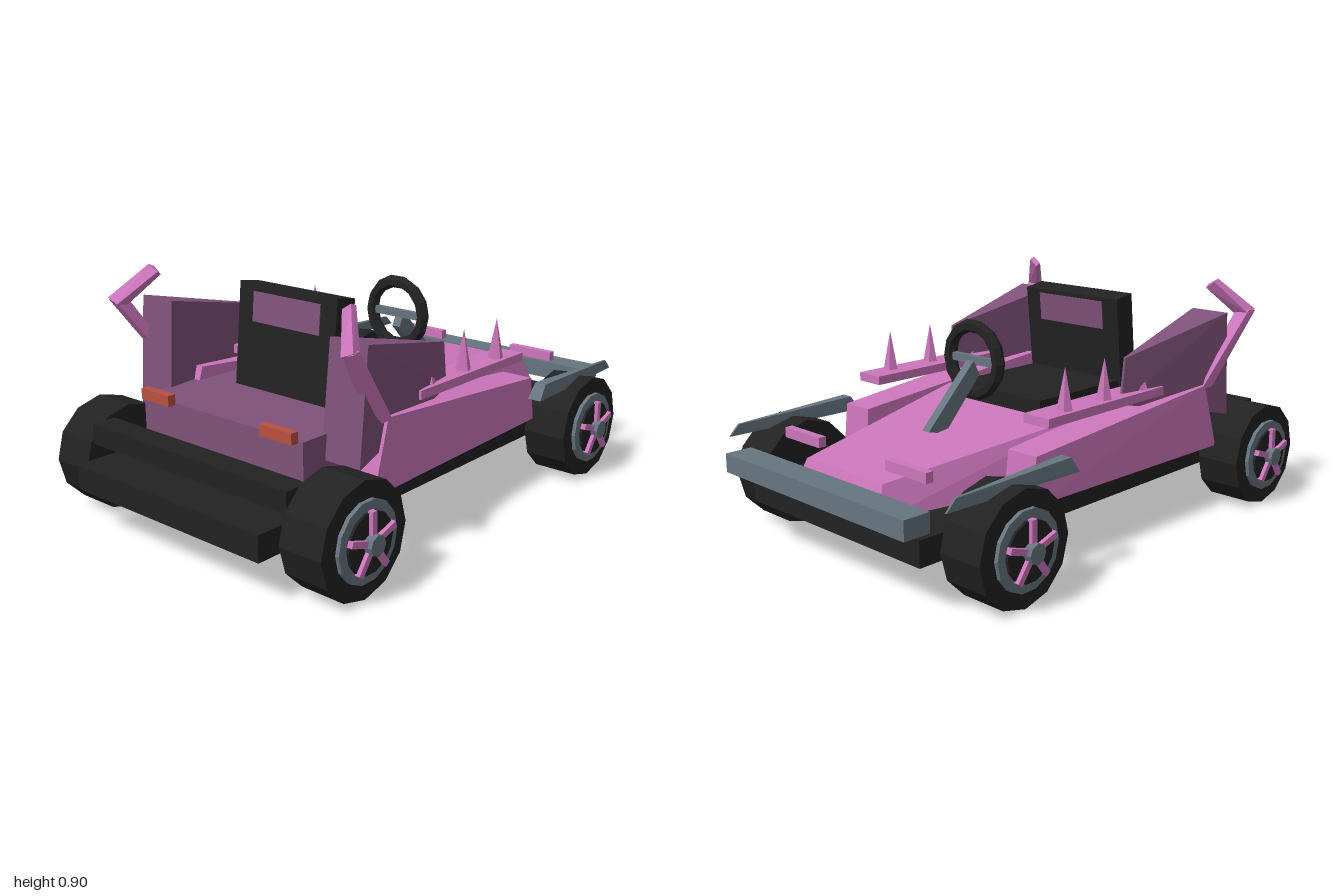
import * as THREE from 'three';
import { ConvexGeometry } from 'three/addons/geometries/ConvexGeometry.js';

const mat = (name, color) => {
  const m = new THREE.MeshStandardMaterial({ color });
  m.name = name;
  m.flatShading = true;
  return m;
};

export function createModel() {
  const pink = mat('pink paint', 0xcc76bc);
  const plum = mat('plum paint', 0x80527a);
  const steel = mat('blue grey steel', 0x667580);
  const black = mat('black rubber', 0x222222);
  const red = mat('red lamp', 0xb85040);

  const kart = new THREE.Group();
  kart.name = 'kart';

  const add = (name, geometry, material, parent = kart) => {
    const m = new THREE.Mesh(geometry, material);
    m.name = name;
    parent.add(m);
    return m;
  };
  // box given by its limits on each axis
  const box = (name, material, [x0, x1], [y0, y1], [z0, z1], parent) => {
    const m = add(name, new THREE.BoxGeometry(Math.abs(x1 - x0), y1 - y0, z1 - z0), material, parent);
    m.position.set((x0 + x1) / 2, (y0 + y1) / 2, (z0 + z1) / 2);
    return m;
  };
  // faceted solid around a few corners; s mirrors it across x
  const hull = (name, material, pts, s = 1) =>
    add(name, new ConvexGeometry(pts.map(([x, y, z]) => new THREE.Vector3(x * s, y, z))), material);
  // corners given for one side, repeated on the other
  const both = (pts) => pts.flatMap(([x, y, z]) => [[x, y, z], [-x, y, z]]);

  // Chassis and bumpers
  box('floorPan', black, [-0.45, 0.45], [0.157, 0.25], [-0.91, 1]);
  box('frontBumper', steel, [-0.485, 0.485], [0.28, 0.35], [-1, -0.895]);
  box('rearBumper', black, [-0.48, 0.48], [0.295, 0.37], [0.81, 0.905]);
  box('rearDeck', plum, [-0.392, 0.392], [0.27, 0.46], [0.13, 0.735]);

  // Tapered nose
  hull('nose', pink, both([
    [0.235, 0.25, -0.89], [0.205, 0.36, -0.85],
    [0.42, 0.25, 0.04], [0.365, 0.46, -0.02],
  ]));

  // Seat
  box('seatCushion', black, [-0.225, 0.225], [0.25, 0.505], [-0.12, 0.36]);
  hull('seatBack', black, both([
    [0.237, 0.45, 0.34], [0.237, 0.45, 0.43], [0.237, 0.83, 0.3], [0.237, 0.845, 0.39],
  ]));
  for (const [zBottom, zTop] of [[0.312, 0.301], [0.403, 0.393]]) {
    const d = zBottom < 0.35 ? -0.004 : 0.004;
    hull('seatPanel', plum, both([
      [0.163, 0.705, zBottom + d], [0.163, 0.815, zTop + d],
      [0.163, 0.705, zBottom], [0.163, 0.815, zTop],
    ]));
  }

  // Steering
  const rim = add('steeringWheel', new THREE.TorusGeometry(0.127, 0.025, 6, 14), black);
  rim.position.set(0, 0.645, -0.235);
  box('steeringSpoke', steel, [-0.115, 0.115], [0.63, 0.66], [-0.245, -0.225]);
  hull('steeringColumn', steel, both([
    [0.018, 0.645, -0.255], [0.018, 0.59, -0.225],
    [0.018, 0.42, -0.48], [0.018, 0.40, -0.40],
  ]));

  for (const s of [1, -1]) {
    // Side pod and floating rail with spikes
    hull('sidePod', pink, [
      [0.37, 0.255, -0.455], [0.51, 0.255, -0.455], [0.375, 0.425, -0.44], [0.505, 0.425, -0.44],
      [0.36, 0.255, 0.56], [0.54, 0.255, 0.56], [0.365, 0.51, 0.48], [0.535, 0.51, 0.48],
    ], s);
    box('spikeRail', pink, [0.385 * s, 0.5 * s], [0.507, 0.54], [-0.375, 0.26]);
    for (const [z, h] of [[-0.25, 0.155], [-0.04, 0.155], [0.17, 0.085]]) {
      const spike = add('spike', new THREE.ConeGeometry(0.03, h, 5), pink);
      spike.position.set(0.46 * s, 0.538 + h / 2, z);
    }

    // Rear fin, narrow in front and broad behind
    hull('rearFin', plum, [
      [0.45, 0.5, 0.06], [0.46, 0.5, 0.06], [0.45, 0.67, 0.08], [0.46, 0.67, 0.08],
      [0.375, 0.37, 0.63], [0.54, 0.37, 0.63], [0.385, 0.78, 0.595], [0.545, 0.78, 0.595],
    ], s);

    // Bent horn behind the fin
    hull('hornLower', pink, [
      [0.535, 0.5, 0.46], [0.5, 0.62, 0.57], [0.54, 0.5, 0.52], [0.51, 0.62, 0.61],
      [0.585, 0.785, 0.685], [0.535, 0.79, 0.68], [0.59, 0.78, 0.72], [0.54, 0.765, 0.715],
    ], s);
    hull('hornUpper', pink, [
      [0.59, 0.785, 0.72], [0.54, 0.765, 0.72], [0.585, 0.77, 0.68], [0.54, 0.75, 0.685],
      [0.487, 0.905, 0.61], [0.445, 0.88, 0.605], [0.487, 0.895, 0.585], [0.45, 0.868, 0.585],
    ], s);

    // Steel blade over the front wheel
    hull('wheelBlade', steel, [
      [0.555, 0.375, -0.34], [0.61, 0.375, -0.34], [0.56, 0.432, -0.38], [0.605, 0.432, -0.38],
      [0.58, 0.375, -0.92], [0.587, 0.375, -0.92], [0.579, 0.415, -0.88], [0.588, 0.415, -0.88],
    ], s);

    box('noseBar', pink, [0.18 * s, 0.38 * s], [0.393, 0.43], [-0.815, -0.785]);
    box('tailLight', red, [0.225 * s, 0.37 * s], [0.453, 0.493], [0.733, 0.765]);
  }

  // Axles and wheels
  const disc = (name, r, x0, x1, sides, material, parent) => {
    const g = new THREE.CylinderGeometry(r, r, x1 - x0, sides).rotateZ(Math.PI / 2);
    return add(name, g.translate((x0 + x1) / 2, 0, 0), material, parent);
  };
  for (const z of [-0.65, 0.74]) {
    disc('axle', 0.024, -0.5, 0.5, 8, steel, kart).position.set(0, 0.202, z);
    for (const side of [0, 1]) {
      const wheel = new THREE.Group();
      wheel.name = z < 0 ? 'frontWheel' : 'rearWheel';
      wheel.position.set(0, 0.202, z);
      wheel.rotation.y = side * Math.PI;
      kart.add(wheel);
      disc('tyre', 0.202, 0.48, 0.655, 12, black, wheel);
      disc('rimRing', 0.14, 0.65, 0.67, 14, steel, wheel);
      disc('rimDisc', 0.106, 0.66, 0.68, 14, black, wheel);
      disc('hub', 0.036, 0.67, 0.71, 8, steel, wheel);
      for (let i = 0; i < 5; i++) {
        const spoke = add('spoke', new THREE.BoxGeometry(0.02, 0.09, 0.022).translate(0.685, 0.065, 0), pink, wheel);
        spoke.rotation.x = (i * Math.PI * 2) / 5;
      }
    }
  }
  return kart;
}
